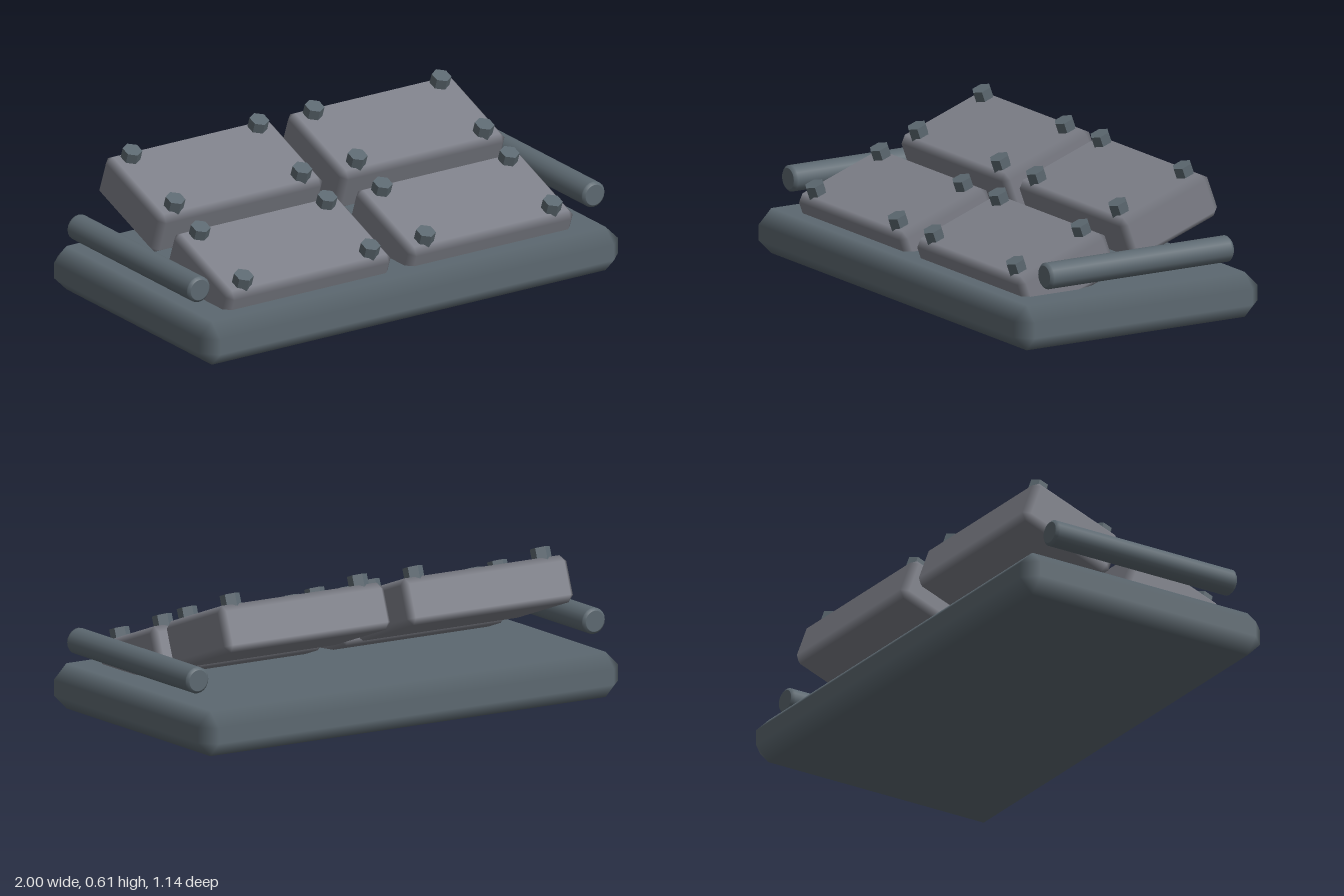
import * as THREE from 'three';
import { ConvexGeometry } from 'three/addons/geometries/ConvexGeometry.js';

// Box with single-step chamfers; normals follow the main faces so the chamfers shade softly.
function chamferBox(w, h, d, r) {
  const half = [w / 2, h / 2, d / 2];
  const points = [];
  for (const sx of [-1, 1]) for (const sy of [-1, 1]) for (const sz of [-1, 1]) {
    const s = [sx, sy, sz];
    for (let axis = 0; axis < 3; axis++) {
      points.push(new THREE.Vector3(...half.map((v, i) => s[i] * (i === axis ? v : v - r))));
    }
  }
  const geometry = new ConvexGeometry(points);
  const pos = geometry.attributes.position;
  const nor = geometry.attributes.normal;
  for (let i = 0; i < pos.count; i++) {
    const p = [pos.getX(i), pos.getY(i), pos.getZ(i)];
    const n = p.map((v, k) => (Math.abs(v) > half[k] - r * 0.5 ? Math.sign(v) : 0));
    nor.setXYZ(i, ...n);
  }
  return geometry;
}

export function createModel() {
  const steel = new THREE.MeshStandardMaterial({ color: 0x5c6870 });
  steel.name = 'dark steel';
  const plate = new THREE.MeshStandardMaterial({ color: 0x7d7f88 });
  plate.name = 'grey plate';

  const model = new THREE.Group();
  model.name = 'armourPanelTray';
  const add = (parent, name, geometry, material, x, y, z) => {
    const mesh = new THREE.Mesh(geometry, material);
    mesh.name = name;
    mesh.position.set(x, y, z);
    parent.add(mesh);
    return mesh;
  };

  // Base slab
  add(model, 'base', chamferBox(2, 0.183, 1.14, 0.06), steel, 0, 0.0915, 0);

  // Side rails with slightly eased ends
  const r = 0.053, e = 0.43;
  const half = [[0, e], [r - 0.011, e], [r - 0.009, e], [r, e - 0.009], [r, e - 0.015]];
  const profile = [
    ...half.map(([x, y]) => new THREE.Vector2(x, -y)),
    ...half.slice().reverse().map(([x, y]) => new THREE.Vector2(x, y)),
  ];
  const railGeometry = new THREE.LatheGeometry(profile, 20).rotateX(Math.PI / 2);
  for (const s of [-1, 1]) {
    add(model, s > 0 ? 'leftRail' : 'rightRail', railGeometry, steel, s * 0.943, 0.291, 0);
  }

  // Four tilted panels, each with a hexagonal bolt near every corner
  const panelGeometry = chamferBox(0.79, 0.19, 0.435, 0.027);
  const boltGeometry = new THREE.CylinderGeometry(0.04, 0.04, 0.06, 6).toNonIndexed();
  boltGeometry.computeVertexNormals();
  for (const row of [-1, 1]) for (const side of [-1, 1]) {
    const panel = new THREE.Group();
    panel.name = (row > 0 ? 'front' : 'back') + (side > 0 ? 'Left' : 'Right') + 'Panel';
    panel.position.set(side * 0.435, 0.327 - row * 0.087, row * 0.2395);
    panel.rotation.x = THREE.MathUtils.degToRad(20);
    add(panel, 'panelBlock', panelGeometry, plate, 0, 0, 0);
    for (const bx of [-1, 1]) for (const bz of [-1, 1]) {
      add(panel, 'bolt', boltGeometry, steel, bx * 0.303, 0.108, bz * 0.161);
    }
    model.add(panel);
  }
  return model;
}
